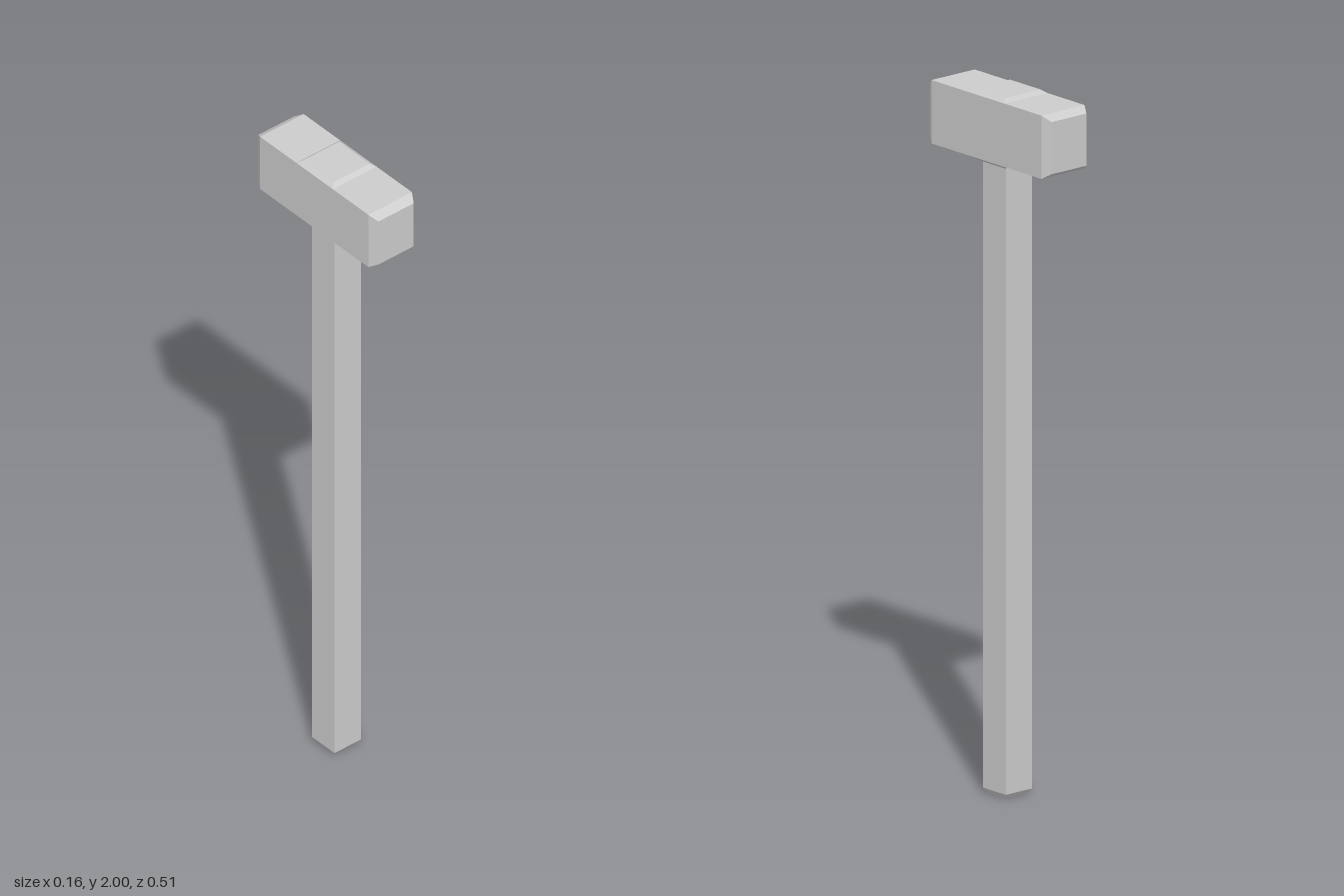
import * as THREE from 'three';

const material = new THREE.MeshStandardMaterial({ color: 0xcccccc, flatShading: true });

// Lofts rectangular sections [level, halfWidth, halfDepth] upward along y, capped at both ends.
function loft(name, sections) {
  const positions = [];
  const rings = sections.map(([y, w, d]) => [[-w, y, d], [w, y, d], [w, y, -d], [-w, y, -d]]);
  const quad = (a, b, c, d) => positions.push(...a, ...b, ...c, ...a, ...c, ...d);
  for (let i = 0; i < rings.length - 1; i++) {
    const lower = rings[i], upper = rings[i + 1];
    for (let j = 0; j < 4; j++) {
      const k = (j + 1) % 4;
      quad(lower[j], lower[k], upper[k], upper[j]);
    }
  }
  const top = rings[rings.length - 1];
  quad(top[0], top[1], top[2], top[3]);
  const base = rings[0];
  quad(base[3], base[2], base[1], base[0]);
  const geometry = new THREE.BufferGeometry();
  geometry.setAttribute('position', new THREE.Float32BufferAttribute(positions, 3));
  geometry.computeVertexNormals();
  const mesh = new THREE.Mesh(geometry, material);
  mesh.name = name;
  return mesh;
}

export function createModel() {
  const group = new THREE.Group();
  group.name = 'hammer';

  // Square handle with a chamfered butt
  const handle = loft('handle', [[0, 0.036, 0.036], [0.015, 0.047, 0.047], [1.81, 0.047, 0.047]]);
  handle.position.z = 0.002;
  group.add(handle);

  // Long head lying front to back, with chamfered striking faces
  const head = loft('head', [
    [-0.253, 0.063, 0.074], [-0.228, 0.078, 0.09],
    [0.228, 0.078, 0.09], [0.253, 0.063, 0.074],
  ]);
  head.rotation.x = Math.PI / 2;
  head.position.y = 1.9;
  group.add(head);

  // Raised socket plates above and below the head
  for (const [name, side] of [['topPlate', 1], ['bottomPlate', -1]]) {
    const plate = loft(name, [[0, 0.078, 0.077], [0.01, 0.064, 0.064]]);
    plate.position.set(0, 1.9 + side * 0.09, 0.002);
    if (side < 0) plate.rotation.x = Math.PI;
    group.add(plate);
  }

  return group;
}
